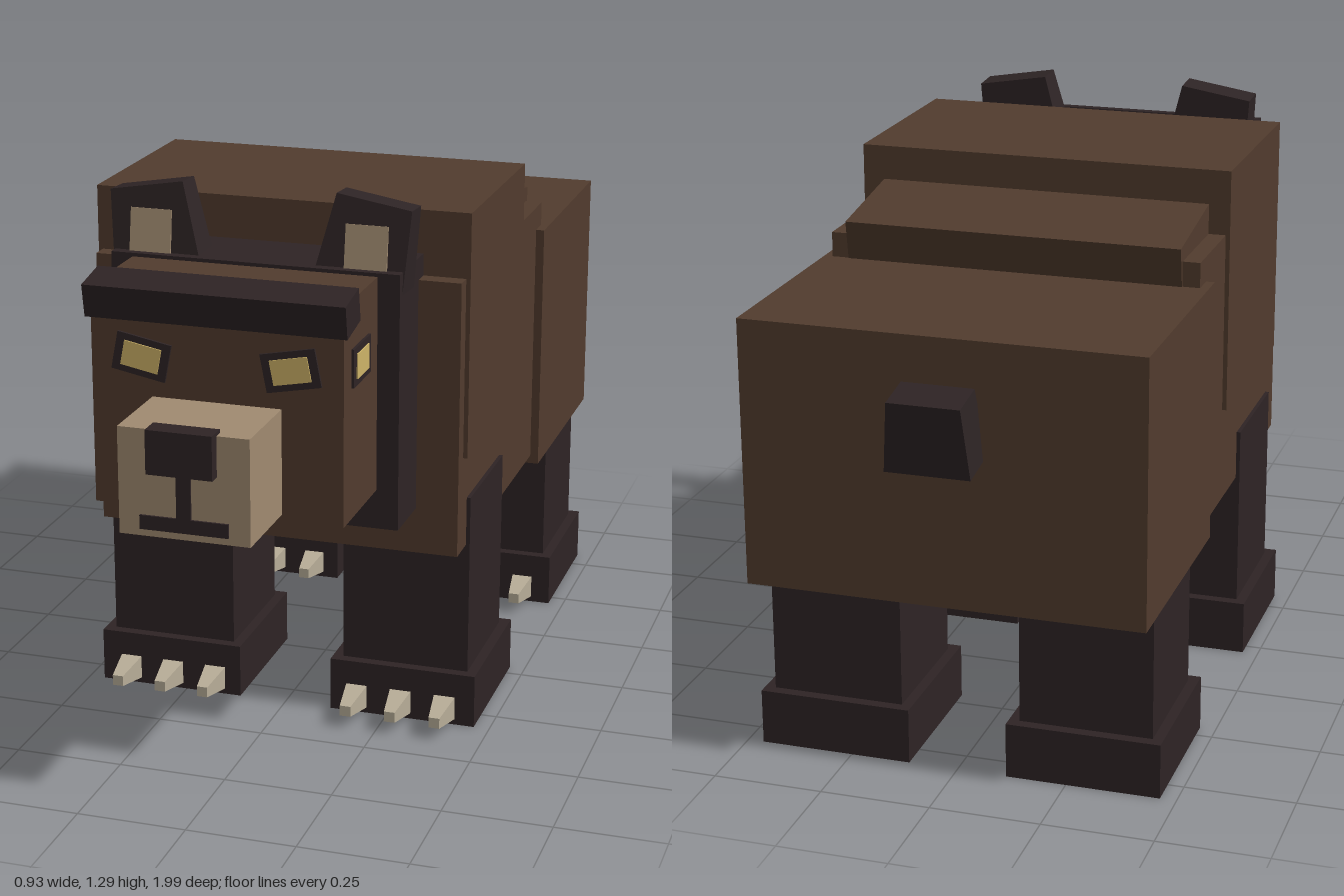
import * as THREE from 'three';

export function createModel() {
  const bear = new THREE.Group();
  bear.name = 'bear';

  const mat = (name, color) => {
    const m = new THREE.MeshStandardMaterial({ color });
    m.name = name;
    return m;
  };
  const fur = mat('brown fur', 0x523c2e);
  const dark = mat('dark fur', 0x2e2425);
  const tan = mat('tan', 0xa18b71);
  const gold = mat('gold', 0xcfb468);
  const bone = mat('claw bone', 0xb8ae98);
  dark.side = THREE.DoubleSide;

  const add = (name, geo, material, parent = bear) => {
    const mesh = new THREE.Mesh(geo, material);
    mesh.name = name;
    parent.add(mesh);
    return mesh;
  };

  // Box given by its limits on each axis
  const box = (name, material, [x0, x1], [y0, y1], [z0, z1], parent) => {
    const mesh = add(name, new THREE.BoxGeometry(x1 - x0, y1 - y0, z1 - z0), material, parent);
    mesh.position.set((x0 + x1) / 2, (y0 + y1) / 2, (z0 + z1) / 2);
    return mesh;
  };

  // Box whose top face is scaled by sx, sz
  const tapered = (w, h, d, sx, sz) => {
    const g = new THREE.BoxGeometry(w, h, d);
    const p = g.attributes.position;
    for (let i = 0; i < p.count; i++) {
      if (p.getY(i) > 0) p.setXYZ(i, p.getX(i) * sx, p.getY(i), p.getZ(i) * sz);
    }
    g.computeVertexNormals();
    return g;
  };

  // Torso
  box('body', fur, [-0.43, 0.43], [0.443, 1.085], [-0.4, 0.375]);
  box('shoulders', fur, [-0.44, 0.44], [0.667, 1.234], [-0.167, 0.335]);
  box('hindquarters', fur, [-0.45, 0.45], [0.423, 1.028], [-0.895, -0.347]);
  const slab = add('backSlope', new THREE.BoxGeometry(0.78, 0.12, 0.34), fur);
  slab.position.set(0, 1.083, -0.24);
  slab.rotation.x = -0.15;

  // Tail
  const tail = add('tail', tapered(0.19, 0.16, 0.11, 0.85, 0.85), dark);
  tail.position.set(0, 0.84, -0.935);
  tail.rotation.x = -0.17;

  // Head
  const head = new THREE.Group();
  head.name = 'head';
  bear.add(head);
  box('ruff', dark, [-0.332, 0.332], [0.55, 1.135], [0.33, 0.523], head);
  box('skull', fur, [-0.282, 0.282], [0.64, 1.127], [0.5, 0.768], head);
  const brow = add('brow', new THREE.BoxGeometry(0.585, 0.075, 0.095), dark, head);
  brow.position.set(0, 1.105, 0.737);
  brow.rotation.x = 0.18;
  box('muzzle', tan, [-0.145, 0.145], [0.656, 0.892], [0.75, 0.972], head);
  box('nose', dark, [-0.073, 0.073], [0.803, 0.9], [0.95, 1.0], head);
  box('mouthGroove', dark, [-0.016, 0.016], [0.69, 0.803], [0.969, 0.977], head);
  box('mouth', dark, [-0.098, 0.098], [0.672, 0.703], [0.969, 0.977], head);

  for (const s of [-1, 1]) {
    // Ears
    const ear = add('ear', tapered(0.207, 0.2, 0.095, 0.83, 0.76), dark, head);
    ear.position.set(s * 0.245, 1.18, 0.452);
    ear.rotation.set(-0.06, 0, -s * 0.165);
    const inner = add('innerEar', new THREE.BoxGeometry(0.096, 0.11, 0.016), tan, head);
    inner.position.set(s * 0.248, 1.175, 0.491);
    inner.rotation.x = -0.15;

    // Front eyes, tilted down to the nose, and level side eyes
    const frontEye = new THREE.Group();
    frontEye.name = 'frontEye';
    frontEye.position.set(s * 0.167, 0.98, 0.77);
    frontEye.rotation.z = s * 0.19;
    const sideEye = new THREE.Group();
    sideEye.name = 'sideEye';
    sideEye.position.set(s * 0.284, 0.978, 0.653);
    sideEye.rotation.y = s * Math.PI / 2;
    for (const eye of [frontEye, sideEye]) {
      head.add(eye);
      add('eyeSocket', new THREE.BoxGeometry(0.123, 0.085, 0.008), dark, eye);
      add('iris', new THREE.BoxGeometry(0.085, 0.055, 0.008), gold, eye).position.z = 0.003;
    }
  }

  // Legs with hollow feet and three claws each
  const footGeo = new THREE.BoxGeometry(0.35, 0.127, 0.356);
  const idx = Array.from(footGeo.index.array);
  idx.splice(18, 6); // open underside
  footGeo.setIndex(idx);
  footGeo.clearGroups();
  const clawGeo = tapered(0.054, 0.105, 0.06, 0.48, 0.42).rotateX(Math.PI / 2);

  for (const s of [-1, 1]) {
    for (const [name, z] of [['frontLeg', 0.142], ['hindLeg', -0.638]]) {
      const leg = new THREE.Group();
      leg.name = name;
      leg.position.set(s * 0.288, 0, z);
      bear.add(leg);
      box('shin', dark, [-0.151, 0.151], [0.12, 0.558], [-0.153, 0.153], leg);
      add('foot', footGeo, dark, leg).position.y = 0.0635;
      for (const i of [-1, 0, 1]) {
        add('claw', clawGeo, bone, leg).position.set(i * 0.107 - s * 0.004, 0.041, 0.217);
      }
    }
  }
  return bear;
}
